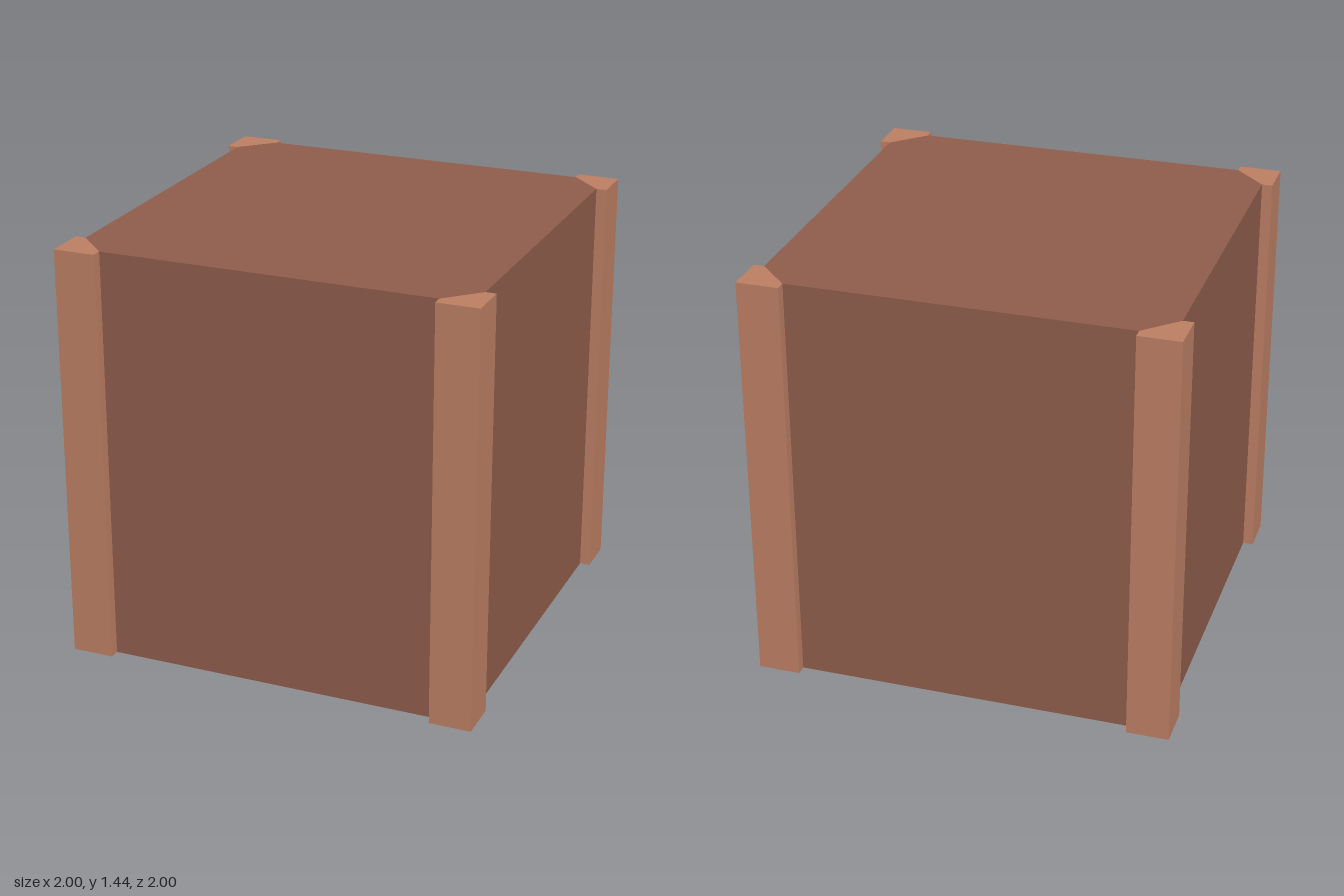
import * as THREE from 'three';

const HALF = 0.721;          // half the crate's width
const HEIGHT = 1.442;
const POST = 0.144;          // width of a corner post
const INSET = 0.036;         // how far the panels sit behind the posts

// Upright prism from a plan outline
function prism(points, material, name) {
  const shape = new THREE.Shape(points.map(([x, y]) => new THREE.Vector2(x, y)));
  const geometry = new THREE.ExtrudeGeometry(shape, { depth: HEIGHT, bevelEnabled: false });
  geometry.rotateX(-Math.PI / 2);
  const mesh = new THREE.Mesh(geometry, material);
  mesh.name = name;
  return mesh;
}

export function createModel() {
  const panelWood = new THREE.MeshStandardMaterial({ color: 0x8f5d4c });
  panelWood.name = 'panel wood';
  const postWood = new THREE.MeshStandardMaterial({ color: 0xbc7f63 });
  postWood.name = 'post wood';

  const group = new THREE.Group();
  group.name = 'crate';
  const wall = HALF - INSET;
  const edge = HALF - POST;

  // Body: square block with chamfered corners, filling the space between the posts
  const body = [];
  for (let i = 0; i < 4; i++) {
    const c = Math.round(Math.cos(i * Math.PI / 2));
    const s = Math.round(Math.sin(i * Math.PI / 2));
    for (const [x, y] of [[wall, edge], [edge, wall]]) body.push([c * x - s * y, s * x + c * y]);
  }
  group.add(prism(body, panelWood, 'body'));

  // Corner posts: standing proud of the panels, flush at top and bottom
  const outline = [[HALF, HALF], [edge, HALF], [edge, wall], [wall, edge], [HALF, edge]];
  for (let i = 0; i < 4; i++) {
    const post = prism(outline, postWood, 'cornerPost' + (i + 1));
    post.rotation.y = i * Math.PI / 2;
    group.add(post);
  }

  // The crate stands turned on its base
  group.rotation.y = Math.atan2(0.2, 1) - Math.PI / 4;
  const model = new THREE.Group();
  model.name = 'model';
  model.add(group);
  return model;
}
